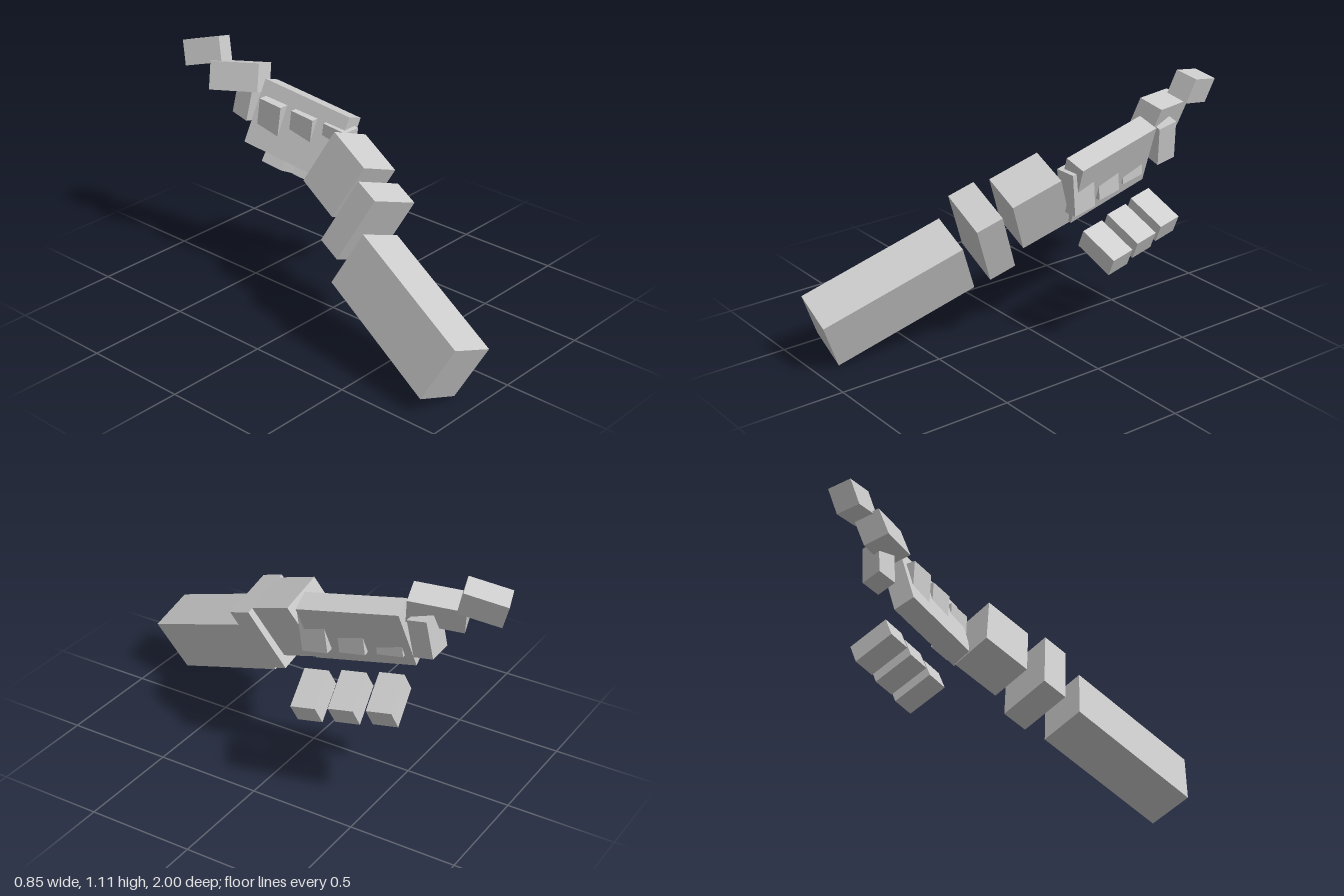
import * as THREE from 'three';

// Box spanned by three edge vectors from one corner
function block(name, material, corner, u, v, w) {
  const [a, b, c] = [u, v, w].map((e) => new THREE.Vector3(...e));
  const mirrored = a.clone().cross(b).dot(c) < 0;
  const m = mirrored ? new THREE.Matrix4().makeBasis(b, a, c) : new THREE.Matrix4().makeBasis(a, b, c);
  m.setPosition(...corner);
  const geometry = new THREE.BoxGeometry(1, 1, 1).translate(0.5, 0.5, 0.5).applyMatrix4(m);
  const mesh = new THREE.Mesh(geometry, material);
  mesh.name = name;
  return mesh;
}

export function createModel() {
  const group = new THREE.Group();
  group.name = 'blockArm';
  const grey = new THREE.MeshStandardMaterial({ color: 0xcccccc });
  grey.name = 'grey';
  const add = (name, ...args) => group.add(block(name, grey, ...args));

  // Arm: corner, across, down, along
  add('forearm', [-0.35, 0.32, 0.98], [0.207, -0.075, 0.018], [-0.077, -0.241, -0.113], [0.152, 0.257, -0.63]);
  add('wrist', [-0.123, 0.708, 0.35], [0.243, -0.088, 0.021], [-0.092, -0.293, -0.135], [0.027, 0.046, -0.118]);
  add('handBase', [-0.022, 0.782, 0.2], [0.193, -0.07, 0.016], [-0.079, -0.246, -0.116], [0.054, 0.09, -0.222]);
  add('palm', [0.184, 0.88, -0.068], [0.095, -0.036, -0.015], [-0.118, -0.288, -0.03], [-0.056, 0.08, -0.468]);

  // Raised finger
  add('raisedFingerBase', [0.18, 0.722, -0.605], [-0.105, 0.02, -0.01], [0.03, 0.185, 0.022], [0.005, 0.02, -0.095]);
  add('raisedFingerMiddle', [0.106, 1.036, -0.555], [0.112, -0.034, -0.03], [-0.04, -0.125, 0.025], [-0.083, -0.024, -0.235]);
  add('raisedFingerTip', [0.084, 1.117, -0.793], [0.099, -0.028, -0.03], [-0.022, -0.114, 0.037], [-0.063, -0.045, -0.178]);

  // Three curled fingers, side by side along the palm
  for (let i = 0; i < 3; i++) {
    const shift = ([x, y, z]) => [x - 0.034 * i, y + 0.026 * i, z - 0.167 * i];
    add('curledFingerBase', shift([0.228, 0.615, -0.083]), [-0.1, 0.005, 0.009], [0.009, 0.2, 0.022], [-0.01, 0.018, -0.122]);
    add('curledFingerTip', shift([0.252, 0.548, -0.11]), [0.17, -0.094, -0.035], [-0.045, -0.087, -0.01], [-0.012, 0.018, -0.117]);
  }
  return group;
}
